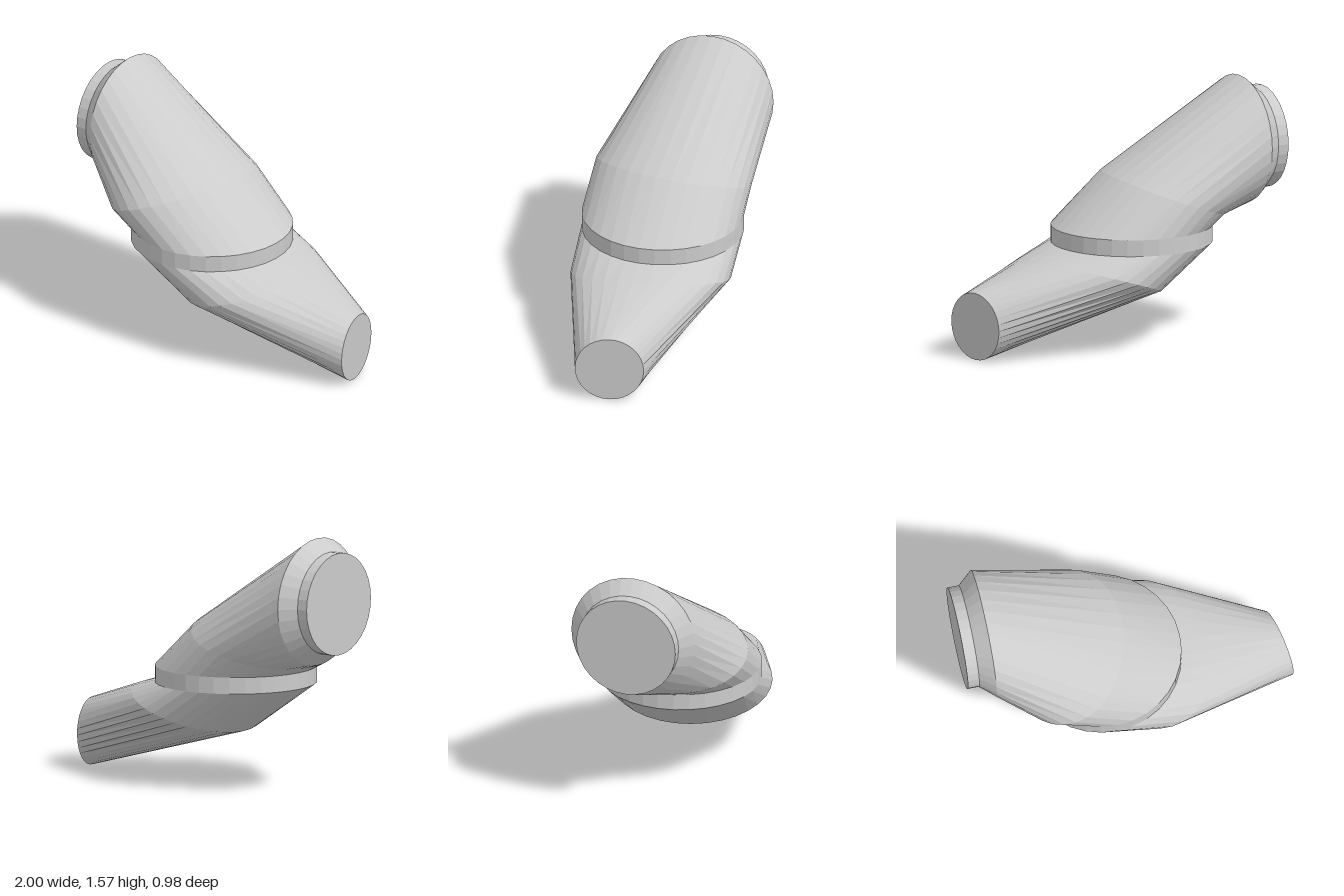
import * as THREE from 'three';

const SIDES = 32;
const material = new THREE.MeshStandardMaterial({ color: 0xcccccc, flatShading: true });

// A ring is an ellipse: centre c, half-axes u and v.
const ring = (c, u, v) => ({
  c: new THREE.Vector3(...c),
  u: new THREE.Vector3(...u),
  v: new THREE.Vector3(...v),
});

// Skins a row of rings, optionally closing the first or last one.
function loft(name, rings, capStart = false, capEnd = false) {
  const positions = [];
  const index = [];
  for (const { c, u, v } of rings) {
    for (let j = 0; j < SIDES; j++) {
      const a = (j / SIDES) * Math.PI * 2;
      const p = c.clone().addScaledVector(u, Math.cos(a)).addScaledVector(v, Math.sin(a));
      positions.push(p.x, p.y, p.z);
    }
  }
  for (let i = 0; i < rings.length - 1; i++) {
    for (let j = 0; j < SIDES; j++) {
      const k = (j + 1) % SIDES;
      const a = i * SIDES + j, b = i * SIDES + k;
      index.push(a, b, b + SIDES, a, b + SIDES, a + SIDES);
    }
  }
  const cap = (i, flip) => {
    const centre = positions.length / 3;
    positions.push(...rings[i].c.toArray());
    for (let j = 0; j < SIDES; j++) {
      const a = i * SIDES + j, b = i * SIDES + ((j + 1) % SIDES);
      index.push(centre, flip ? b : a, flip ? a : b);
    }
  };
  if (capStart) cap(0, true);
  if (capEnd) cap(rings.length - 1, false);

  const geometry = new THREE.BufferGeometry();
  geometry.setAttribute('position', new THREE.Float32BufferAttribute(positions, 3));
  geometry.setIndex(index);
  geometry.computeVertexNormals();
  const mesh = new THREE.Mesh(geometry, material);
  mesh.name = name;
  return mesh;
}

export function createModel() {
  const group = new THREE.Group();
  group.name = 'bentDuct';

  // Rings from the upper inlet down to the lower outlet
  const inlet = ring([-1, 1.18, -0.09], [0, 0.31, 0], [0, 0, 0.31]);
  const neck = ring([-0.93, 1.18, -0.09], [0, 0.31, 0], [0, 0, 0.31]);
  const shoulder = ring([-0.84, 1.18, -0.09], [0, 0.387, 0], [0, 0, 0.387]);
  const upperElbow = ring([-0.355, 0.888, -0.003], [0.355, 0.133, 0], [-0.04, 0.01, 0.487]);
  const bandTop = ring([-0.142, 0.715, 0], [0.487, 0, 0], [0, 0, 0.487]);
  const bandBottom = ring([-0.142, 0.615, 0], [0.487, 0, 0], [0, 0, 0.487]);
  const lowerElbow = ring([0.155, 0.44, -0.015], [0.365, 0.12, 0], [0.05, -0.015, 0.475]);
  const outlet = ring([0.955, 0.205, -0.005], [0.005, 0.205, 0], [0.045, 0, 0.202]);

  group.add(
    loft('inletCollar', [inlet, neck], true),
    loft('inletFlare', [neck, shoulder]),
    loft('upperTube', [shoulder, upperElbow, bandTop]),
    loft('middleBand', [bandTop, bandBottom]),
    loft('lowerTube', [bandBottom, lowerElbow, outlet], false, true),
  );
  return group;
}
